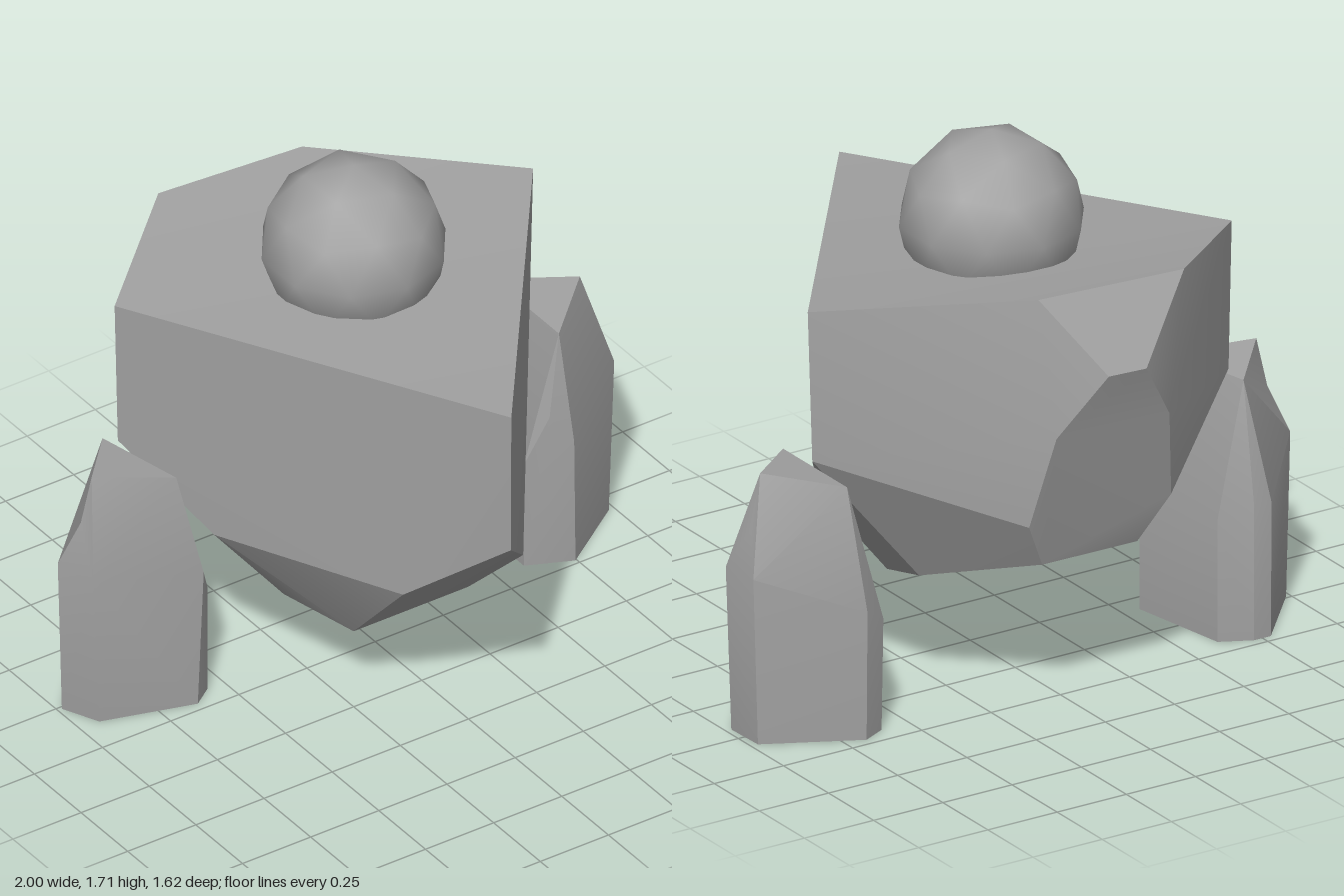
import * as THREE from 'three';
import { ConvexGeometry } from 'three/addons/geometries/ConvexGeometry.js';
import { toCreasedNormals } from 'three/addons/utils/BufferGeometryUtils.js';

const stoneGrey = new THREE.MeshStandardMaterial({ color: 0xa0a0a0 });

// Faceted stone: the convex solid around a few corners [x, y, z].
// A corner may add a shift [dx, dy, dz], applied afterwards to form a shallow hollow.
function stone(name, corners) {
  const points = corners.map(([x, y, z]) => new THREE.Vector3(x, y, z));
  const geometry = new ConvexGeometry(points);
  const position = geometry.attributes.position;
  const p = new THREE.Vector3();
  for (let i = 0; i < position.count; i++) {
    p.fromBufferAttribute(position, i);
    const k = points.findIndex((q) => q.distanceTo(p) < 1e-4);
    const [dx = 0, dy = 0, dz = 0] = corners[k].slice(3);
    position.setXYZ(i, p.x + dx, p.y + dy, p.z + dz);
  }
  const mesh = new THREE.Mesh(toCreasedNormals(geometry, 0.35), stoneGrey);
  mesh.name = name;
  return mesh;
}

export function createModel() {
  const model = new THREE.Group();
  model.name = 'stoneFigure';

  model.add(stone('body', [
    // top rim: front, left, back, right (the side corners sink to fold the top)
    [-0.055, 1.305, 0.81], [0.73, 1.4, -0.22, 0, -0.07, 0], [0.17, 1.39, -0.64],
    [-0.33, 1.39, -0.68], [-0.73, 1.4, -0.33, 0, -0.07, 0],
    // lower ends of the upright edges
    [-0.05, 0.81, 0.8], [0.72, 0.84, -0.23], [-0.725, 0.84, -0.32],
    // eight-sided, slightly hollow back facet
    [0.02, 1.16, -0.8], [0.16, 0.96, -0.765, 0, 0, 0.04], [0.22, 0.66, -0.665], [0.15, 0.51, -0.63],
    [-0.19, 0.51, -0.635], [-0.27, 0.67, -0.7], [-0.235, 0.96, -0.785, 0, 0, 0.04], [-0.11, 1.16, -0.81],
    // lower front facet and its sides
    [0.18, 0.55, 0.53], [-0.24, 0.55, 0.5], [0.52, 0.585, 0.03], [-0.56, 0.585, -0.045],
    // underside
    [0.18, 0.265, 0.235], [-0.24, 0.265, 0.235], [0.3, 0.305, 0], [-0.335, 0.305, 0],
    [0.38, 0.41, -0.3], [-0.37, 0.43, -0.34],
  ]));

  model.add(stone('leftArm', [
    // top triangle, tips of the outer and inner chamfers
    [0.915, 0.85, -0.24], [0.715, 0.82, -0.06], [0.715, 0.82, -0.415],
    [0.975, 0.68, -0.25, -0.022, 0, 0], [0.655, 0.54, -0.04, 0.012, 0, 0],
    // shoulders
    [1, 0.54, -0.18], [0.985, 0.54, -0.31], [0.73, 0.45, 0],
    [0.6, 0.37, -0.08], [0.6, 0.37, -0.44], [0.68, 0.42, -0.475],
    // foot
    [0.98, 0, -0.18], [0.975, 0, -0.32], [0.68, 0, -0.47], [0.6, 0, -0.43],
    [0.6, 0, -0.08], [0.745, 0, -0.015],
  ]));

  model.add(stone('rightArm', [
    // top triangle and tip of the outer chamfer
    [-0.91, 0.85, -0.19], [-0.675, 0.82, -0.08], [-0.74, 0.82, -0.38],
    [-0.975, 0.69, -0.2, 0.032, 0, 0],
    // shoulders
    [-1, 0.54, -0.24], [-0.955, 0.52, -0.115], [-0.605, 0.47, -0.035], [-0.56, 0.37, -0.08],
    [-0.62, 0.4, -0.42], [-0.72, 0.44, -0.47], [-0.78, 0.44, -0.475],
    // foot
    [-0.985, 0, -0.24], [-0.93, 0, -0.12], [-0.63, 0, -0.03], [-0.56, 0, -0.08],
    [-0.62, 0, -0.42], [-0.72, 0, -0.47], [-0.78, 0, -0.47],
  ]));

  // Head: 80-sided ball with one corner straight up
  const ball = new THREE.IcosahedronGeometry(0.29, 1).rotateZ(-Math.atan(2 / (1 + Math.sqrt(5))));
  const head = new THREE.Mesh(ball, stoneGrey);
  head.name = 'head';
  head.position.set(-0.02, 1.42, -0.087);
  model.add(head);

  return model;
}
